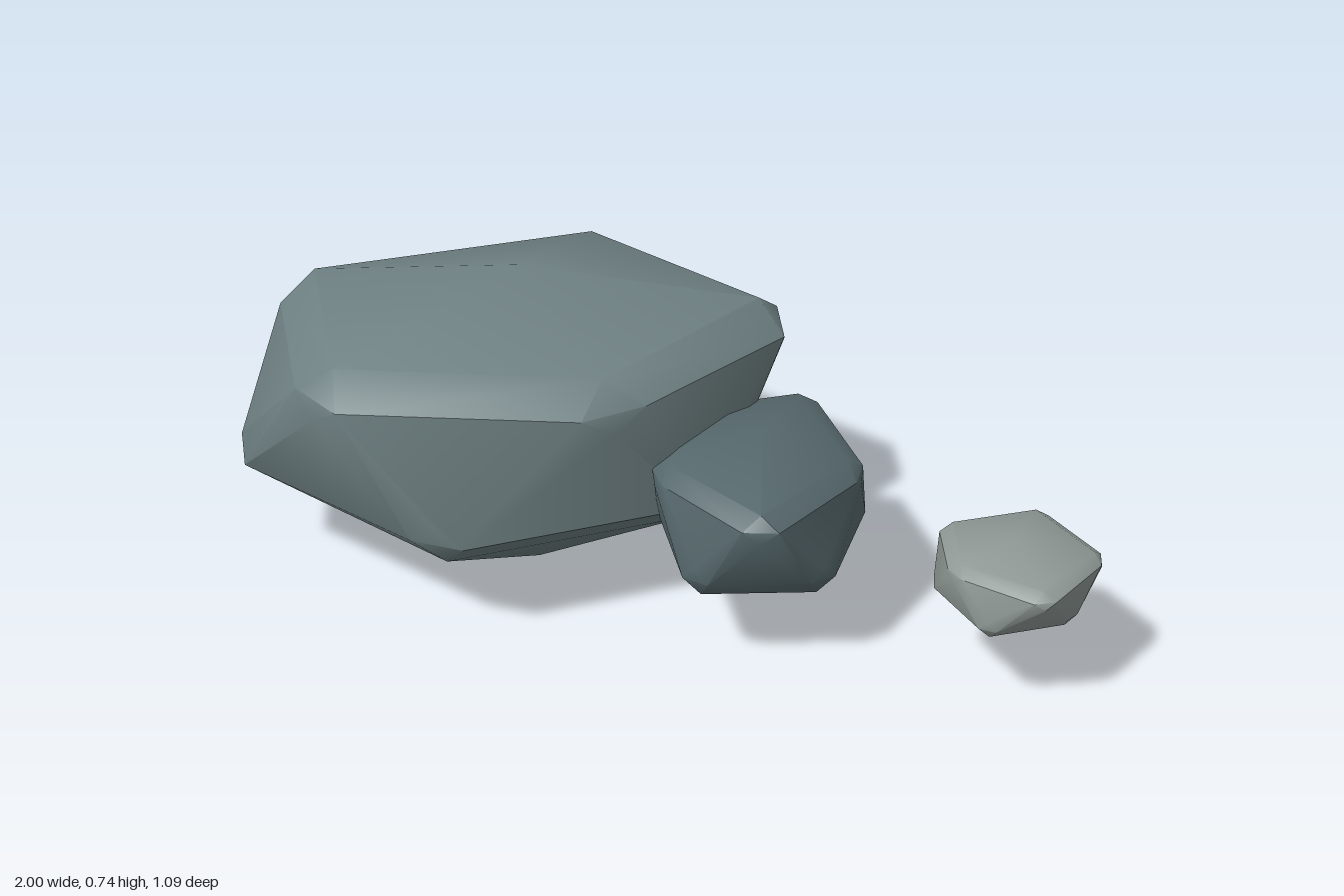
import * as THREE from 'three';
import { ConvexGeometry } from 'three/addons/geometries/ConvexGeometry.js';
import { toCreasedNormals } from 'three/addons/utils/BufferGeometryUtils.js';

// A chipped corner: a small diamond with its tip pulled inwards, two sides and a toe.
function chippedCorner([x, z], centre, [yTip, ySide, yToe], inset, spread) {
  const dx = x - centre[0], dz = z - centre[1];
  const r = Math.hypot(dx, dz);
  const ux = dx / r, uz = dz / r;
  const at = (out, along, y) => new THREE.Vector3(x + ux * out - uz * along, y, z + uz * out + ux * along);
  return [
    at(-inset, 0, yTip),
    at(-inset * 0.15, spread, ySide),
    at(-inset * 0.15, -spread, ySide),
    at(0, 0, yToe),
  ];
}

// A boulder: apex, ring of upper corners, staggered ring of lower corners, blunt foot.
function boulder({ name, color, centre, apex, foot, upper, lower, upperY, lowerY, inset, spread, footSpread }) {
  const points = [new THREE.Vector3(centre[0], apex, centre[1])];
  for (const c of upper) points.push(...chippedCorner(c, centre, upperY, inset, spread));
  for (const c of lower) points.push(...chippedCorner(c, centre, lowerY, inset, spread * 0.8));
  for (const s of [-1, 1]) {
    points.push(new THREE.Vector3(centre[0] + s * footSpread, foot, centre[1] + s * footSpread));
    points.push(new THREE.Vector3(centre[0] + s * footSpread, foot + 0.005, centre[1] - s * footSpread));
  }
  const geometry = toCreasedNormals(new ConvexGeometry(points), 0.62);
  const mesh = new THREE.Mesh(geometry, new THREE.MeshStandardMaterial({ color }));
  mesh.name = name;
  return mesh;
}

export function createModel() {
  const group = new THREE.Group();
  group.name = 'rocks';

  // corners are [x, z]; heights run tip, sides, toe
  group.add(boulder({
    name: 'largeRock', color: 0x6f8183, centre: [-0.36, -0.055], apex: 0.74, foot: 0,
    upper: [[-0.07, 0.325], [0.24, -0.19], [-0.25, -0.54], [-0.93, -0.19], [-0.74, 0.36]],
    lower: [[-0.46, 0.43], [0.12, 0.11], [0.08, -0.41], [-0.62, -0.48], [-1.0, 0.07]],
    upperY: [0.637, 0.575, 0.53], lowerY: [0.2, 0.27, 0.32],
    inset: 0.06, spread: 0.08, footSpread: 0.045,
  }));

  group.add(boulder({
    name: 'mediumRock', color: 0x56686c, centre: [0.235, 0.19], apex: 0.49, foot: 0.1,
    upper: [[0.27, 0.5], [0.46, 0.21], [0.29, -0.125], [0.07, -0.03], [0.01, 0.29]],
    lower: [[0.12, 0.45], [0.4, 0.4], [0.45, 0.06], [0.19, -0.13], [0, 0.13]],
    upperY: [0.438, 0.41, 0.385], lowerY: [0.2, 0.245, 0.28],
    inset: 0.03, spread: 0.04, footSpread: 0.02,
  }));

  group.add(boulder({
    name: 'smallRock', color: 0x8e9894, centre: [0.81, 0.35], apex: 0.365, foot: 0.14,
    upper: [[0.995, 0.34], [0.88, 0.54], [0.68, 0.45], [0.65, 0.25], [0.85, 0.16]],
    lower: [[0.94, 0.44], [0.76, 0.52], [0.635, 0.34], [0.74, 0.165], [0.94, 0.21]],
    upperY: [0.336, 0.317, 0.3], lowerY: [0.2, 0.225, 0.245],
    inset: 0.02, spread: 0.025, footSpread: 0.012,
  }));

  return group;
}
